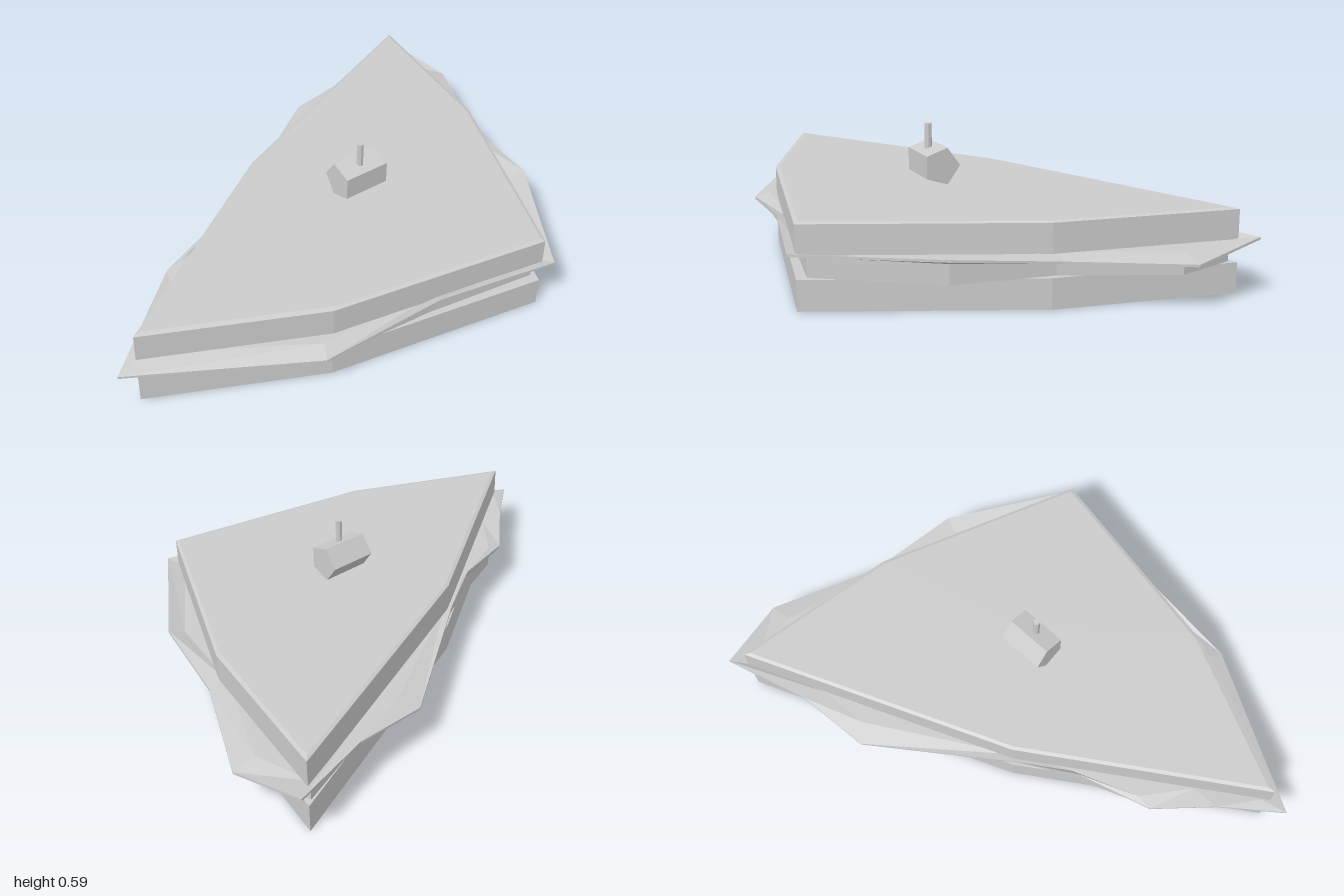
import * as THREE from 'three';

const material = new THREE.MeshStandardMaterial({ color: 0xcccccc, flatShading: true });
const CENTRE = [0.3, 0.2]; // x, z point that every outline wraps around

// Closed solid through stacked loops of [x, y, z], first loop lowest
function loft(name, loops) {
  const n = loops[0].length, pos = [];
  const tri = (a, b, c) => pos.push(...a, ...b, ...c);
  const mid = (loop) => [CENTRE[0], loop.reduce((s, p) => s + p[1], 0) / n, CENTRE[1]];
  const first = loops[0], last = loops[loops.length - 1];
  for (let i = 0; i < n; i++) {
    const j = (i + 1) % n;
    for (let k = 0; k < loops.length - 1; k++) {
      const lo = loops[k], hi = loops[k + 1];
      tri(lo[i], hi[i], lo[j]);
      tri(lo[j], hi[i], hi[j]);
    }
    tri(mid(first), first[i], first[j]);
    tri(mid(last), last[j], last[i]);
  }
  const g = new THREE.BufferGeometry();
  g.setAttribute('position', new THREE.Float32BufferAttribute(pos, 3));
  g.computeVertexNormals();
  const mesh = new THREE.Mesh(g, material);
  mesh.name = name;
  return mesh;
}

// Outline [x, z] lifted to height y and shrunk towards the centre
const ring = (outline, y, s = 1) => outline.map(([x, z]) =>
  [CENTRE[0] + (x - CENTRE[0]) * s, y, CENTRE[1] + (z - CENTRE[1]) * s]);

const bread = [[0.78, -0.92], [0.88, -0.17], [0.78, 0.78], [-0.17, 0.885], [-0.92, 0.78], [-0.2, -0.1]];

// Filling outline, and the leaf rim as [x, z, y] with the same point count
const filling = [
  [0.76, -0.89], [0.9, -0.67], [0.85, -0.19], [0.91, 0.22], [0.76, 0.74], [0.27, 0.81], [-0.22, 0.92],
  [-0.9, 0.75], [-0.71, 0.52], [-0.62, 0.29], [-0.38, 0.1], [-0.19, -0.08], [0.28, -0.6], [0.49, -0.68],
];
const rim = [
  [0.83, -0.99, 0.235], [0.995, -0.7, 0.188], [0.93, -0.2, 0.2], [0.98, 0.22, 0.238], [0.82, 0.81, 0.233],
  [0.29, 0.865, 0.236], [-0.23, 0.985, 0.187], [-1, 0.82, 0.19], [-0.83, 0.56, 0.22], [-0.69, 0.31, 0.195],
  [-0.41, 0.11, 0.235], [-0.22, -0.1, 0.22], [0.2, -0.65, 0.188], [0.51, -0.775, 0.22],
];

export function createModel() {
  const model = new THREE.Group();
  model.name = 'sandwich';

  // Two bread slices, the upper one with a slightly bevelled crust
  model.add(loft('bottomBread', [ring(bread, 0), ring(bread, 0.125)]));
  model.add(loft('topBread', [ring(bread, 0.22), ring(bread, 0.34), ring(bread, 0.346, 0.974)]));

  // Slab of filling
  model.add(loft('filling', [ring(filling, 0.124), ring(filling, 0.208)]));

  // Thin leaf, flat over the filling with a wavy overhanging rim
  const edge = (dy) => rim.map(([x, z, y]) => [x, y + dy, z]);
  model.add(loft('lettuce', [ring(filling, 0.206), edge(-0.005), edge(0.005), ring(filling, 0.217)]));

  // Five-sided olive lying on top, pierced by a pick
  const olive = new THREE.Mesh(new THREE.CylinderGeometry(0.082, 0.082, 0.21, 5, 1, false, Math.PI), material);
  olive.geometry.rotateZ(Math.PI / 2);
  olive.rotation.y = 0.3;
  olive.position.set(0.175, 0.423, 0.215);
  olive.name = 'olive';
  model.add(olive);

  const pick = new THREE.Mesh(new THREE.CylinderGeometry(0.015, 0.015, 0.19, 8), material);
  pick.position.set(0.177, 0.495, 0.232);
  pick.name = 'cocktailStick';
  model.add(pick);

  return model;
}
